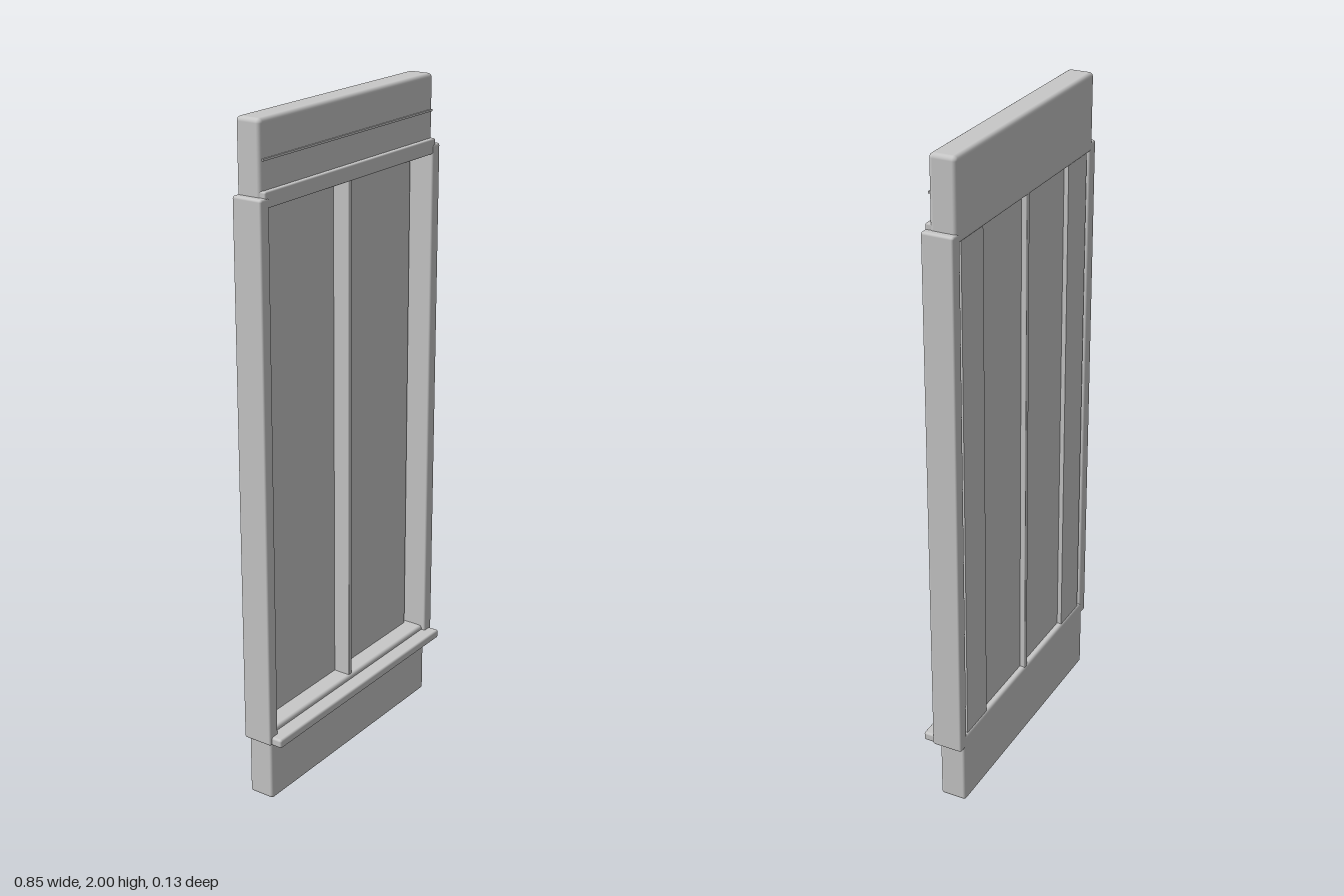
import * as THREE from 'three';
import { RoundedBoxGeometry } from 'three/addons/geometries/RoundedBoxGeometry.js';

export function createModel() {
  const model = new THREE.Group();
  model.name = 'windowFrame';
  const grey = new THREE.MeshStandardMaterial({ color: 0xc8c8c8 });
  grey.name = 'light grey';

  // Box given by its limits on each axis, with optional rounded edges
  function block(name, [x0, x1], [y0, y1], [z0, z1], radius = 0) {
    const size = [x1 - x0, y1 - y0, z1 - z0];
    const geometry = radius
      ? new RoundedBoxGeometry(...size, 3, radius)
      : new THREE.BoxGeometry(...size);
    const mesh = new THREE.Mesh(geometry, grey);
    mesh.name = name;
    mesh.position.set((x0 + x1) / 2, (y0 + y1) / 2, (z0 + z1) / 2);
    model.add(mesh);
  }

  // Lintel and base
  block('lintel', [-0.407, 0.407], [1.767, 2], [-0.064, 0.016], 0.013);
  block('base', [-0.405, 0.405], [0, 0.232], [-0.064, 0.018], 0.01);

  // Mouldings across the lintel
  block('lintelMoulding', [-0.405, 0.405], [1.768, 1.813], [0, 0.029], 0.005);
  block('lintelBead', [-0.4, 0.4], [1.891, 1.897], [0.008, 0.02]);

  // Sill nosing
  block('sill', [-0.42, 0.42], [0.192, 0.219], [0, 0.064], 0.007);

  // Side posts and the two-part panels
  for (const s of [-1, 1]) {
    const span = (a, b) => (s > 0 ? [a, b] : [-b, -a]);
    const side = s > 0 ? 'left' : 'right';
    block(side + 'Post', span(0.39, 0.427), [0.192, 1.796], [-0.064, 0.031], 0.007);
    block(side + 'Panel', span(0, 0.257), [0.22, 1.78], [-0.045, -0.04]);
    block(side + 'PanelEdge', span(0.257, 0.377), [0.22, 1.78], [-0.059, -0.04]);
  }

  // Central mullion
  block('mullion', [-0.009, 0.009], [0.22, 1.78], [-0.061, 0.012], 0.003);

  return model;
}
